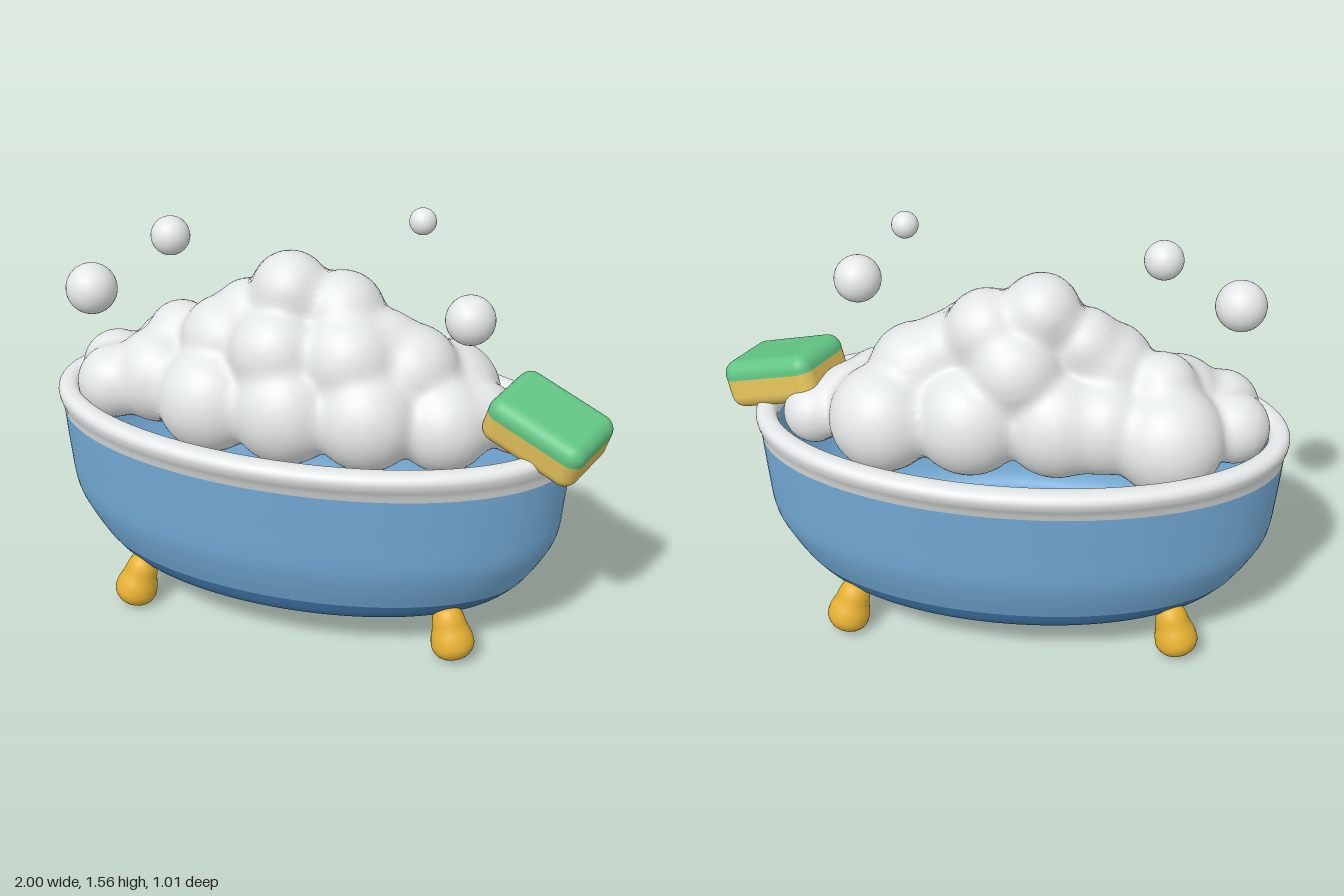
import * as THREE from 'three';
import { mergeVertices } from 'three/addons/utils/BufferGeometryUtils.js';
import { RoundedBoxGeometry } from 'three/addons/geometries/RoundedBoxGeometry.js';

const CX = -0.06; // tub centre along x

function mat(name, color) {
  const m = new THREE.MeshStandardMaterial({ color });
  m.name = name;
  return m;
}

// Stacks elliptical rings given as [y, half length, half width]
function ovalLoft(rings, smooth = true, n = 96) {
  let pts = rings.map(([y, a, b]) => new THREE.Vector3(a, y, b));
  if (smooth) pts = new THREE.CatmullRomCurve3(pts, false, 'centripetal').getPoints(rings.length * 4);
  const pos = [], idx = [];
  pts.forEach((p, i) => {
    for (let j = 0; j < n; j++) {
      const t = (j / n) * Math.PI * 2, k = (j + 1) % n;
      pos.push(CX + p.x * Math.cos(t), p.y, p.z * Math.sin(t));
      if (i < pts.length - 1) {
        const a = i * n + j, b = i * n + k, c = a + n, d = b + n;
        idx.push(a, c, b, b, c, d);
      }
    }
  });
  const g = new THREE.BufferGeometry();
  g.setAttribute('position', new THREE.Float32BufferAttribute(pos, 3));
  g.setIndex(idx);
  g.computeVertexNormals();
  return g;
}

// Foam puffs: x, y, z, radius
const PUFFS = [
  [-0.8, 0.83, -0.03, 0.125], [-0.76, 0.83, 0.1, 0.13],
  [-0.58, 0.83, -0.13, 0.195], [-0.6, 0.86, 0.06, 0.17],
  [-0.38, 0.84, 0.14, 0.19], [-0.36, 0.86, -0.1, 0.18],
  [-0.2, 0.86, -0.1, 0.2], [-0.1, 0.85, 0.15, 0.2],
  [0.1, 0.86, -0.12, 0.2], [0.18, 0.85, 0.14, 0.19],
  [0.4, 0.84, -0.12, 0.19], [0.43, 0.82, 0.06, 0.17],
  [0.66, 0.8, -0.05, 0.11], [0.54, 0.84, 0, 0.12],
  [-0.55, 0.98, -0.04, 0.12], [-0.36, 1.01, 0.02, 0.16],
  [-0.15, 1.03, 0.1, 0.17], [0.1, 1.02, 0.07, 0.18],
  [0.3, 0.97, 0, 0.165], [-0.05, 1.04, -0.08, 0.17],
  [-0.13, 1.22, 0.0, 0.135], [0.05, 1.15, -0.02, 0.145],
  [-0.28, 1.11, 0.0, 0.125], [0.2, 1.05, 0, 0.13],
];

// Distance to the softly blended puffs
function foamDistance(p) {
  let d = 10;
  const k = 0.035;
  for (const [x, y, z, r] of PUFFS) {
    const e = Math.hypot(p.x - x, p.y - y, p.z - z) - r;
    const h = Math.max(k - Math.abs(d - e), 0) / k;
    d = Math.min(d, e) - h * h * k * 0.25;
  }
  return d;
}

// Shrinks a ball inward until it wraps the puffs
function foamGeometry() {
  let g = new THREE.IcosahedronGeometry(1, 44);
  g.deleteAttribute('uv');
  g.deleteAttribute('normal');
  g = mergeVertices(g);
  const pos = g.attributes.position;
  const d = new THREE.Vector3(), p = new THREE.Vector3(), dir = new THREE.Vector3();
  for (let i = 0; i < pos.count; i++) {
    d.fromBufferAttribute(pos, i);
    const target = new THREE.Vector3(-0.08 + 0.6 * d.x, 0.83, 0);
    p.set(-0.08 + 1.1 * d.x, 0.83 + 0.75 * d.y, 0.6 * d.z);
    dir.subVectors(target, p);
    const limit = dir.length();
    dir.normalize();
    let t = 0;
    for (let s = 0; s < 50 && t < limit; s++) {
      const e = foamDistance(p);
      if (e < 0.0008) break;
      t += e;
      p.addScaledVector(dir, e);
    }
    pos.setXYZ(i, p.x, p.y, p.z);
  }
  g.computeVertexNormals();
  return g;
}

// One half of a rounded block, cut flat at height cut
function halfBlock(cut, upper) {
  const g = new RoundedBoxGeometry(0.37, 0.175, 0.28, 6, 0.05);
  const pos = g.attributes.position;
  for (let i = 0; i < pos.count; i++) {
    const y = pos.getY(i);
    pos.setY(i, upper ? Math.max(y, cut) : Math.min(y, cut));
  }
  return g;
}

export function createModel() {
  const model = new THREE.Group();
  model.name = 'bubbleBath';
  const blue = mat('tubBlue', 0x73aad6);
  const darkBlue = mat('baseBlue', 0x3f75a8);
  const white = mat('white', 0xe9ecec);
  const gold = mat('gold', 0xe5b032);
  const green = mat('spongeGreen', 0x62c584);
  const yellow = mat('spongeYellow', 0xe2c05a);

  const add = (name, geometry, material, parent = model) => {
    const m = new THREE.Mesh(geometry, material);
    m.name = name;
    parent.add(m);
    return m;
  };

  // Tub shell
  add('tubFloorUnderside', ovalLoft([[0.158, 0.001, 0.001], [0.158, 0.7, 0.36]], false), darkBlue);
  add('tubBaseBand', ovalLoft([[0.158, 0.7, 0.36], [0.165, 0.73, 0.372], [0.19, 0.765, 0.388], [0.23, 0.805, 0.403]]), darkBlue);
  add('tubWall', ovalLoft([[0.23, 0.805, 0.403], [0.31, 0.855, 0.432], [0.4, 0.897, 0.455], [0.55, 0.915, 0.466], [0.7, 0.926, 0.475]]), blue);
  add('rim', ovalLoft([
    [0.7, 0.926, 0.475], [0.73, 0.93, 0.487], [0.76, 0.938, 0.503], [0.785, 0.94, 0.507], [0.803, 0.93, 0.495],
    [0.81, 0.905, 0.468], [0.803, 0.878, 0.435], [0.785, 0.866, 0.42], [0.755, 0.864, 0.417],
  ]), white);
  add('tubInnerWall', ovalLoft([
    [0.755, 0.864, 0.417], [0.6, 0.86, 0.41], [0.42, 0.83, 0.39], [0.28, 0.74, 0.35], [0.25, 0.6, 0.28], [0.25, 0.001, 0.001],
  ]), blue);

  // Foam and floating bubbles
  add('foam', foamGeometry(), white);
  [[-0.8, 1.205, 0.15, 0.089], [-0.53, 1.402, 0.075, 0.067], [0.52, 1.245, 0.12, 0.083], [0.325, 1.52, 0, 0.045]]
    .forEach(([x, y, z, r], i) => {
      add('bubble' + (i + 1), new THREE.SphereGeometry(r, 32, 20), white).position.set(x, y, z);
    });

  // Four feet, leaning outward
  const profile = new THREE.SplineCurve([
    [0, 0], [0.048, 0.008], [0.074, 0.04], [0.074, 0.08], [0.062, 0.12], [0.054, 0.16], [0.036, 0.19], [0, 0.2],
  ].map(([x, y]) => new THREE.Vector2(x, y))).getPoints(28);
  profile.forEach((p) => { p.x = Math.max(p.x, 0); });
  const footGeometry = new THREE.LatheGeometry(profile, 28);
  for (const sx of [-1, 1]) {
    for (const sz of [-1, 1]) {
      const foot = add((sz > 0 ? 'front' : 'back') + (sx > 0 ? 'Left' : 'Right') + 'Foot', footGeometry, gold);
      const up = new THREE.Vector3(-sx * 0.05, 0.19, -sz * 0.035).normalize();
      foot.quaternion.setFromUnitVectors(new THREE.Vector3(0, 1, 0), up);
      foot.position.set(CX + sx * 0.61, 0.012, sz * 0.275);
    }
  }

  // Two-tone sponge resting on the rim
  const sponge = new THREE.Group();
  sponge.name = 'sponge';
  sponge.position.set(0.79, 0.872, 0.09);
  sponge.rotation.set(0.1, -0.34, -0.33, 'YXZ');
  add('spongeBody', halfBlock(0.025, false), yellow, sponge);
  add('spongeScrubber', halfBlock(0.025, true), green, sponge);
  model.add(sponge);

  return model;
}
